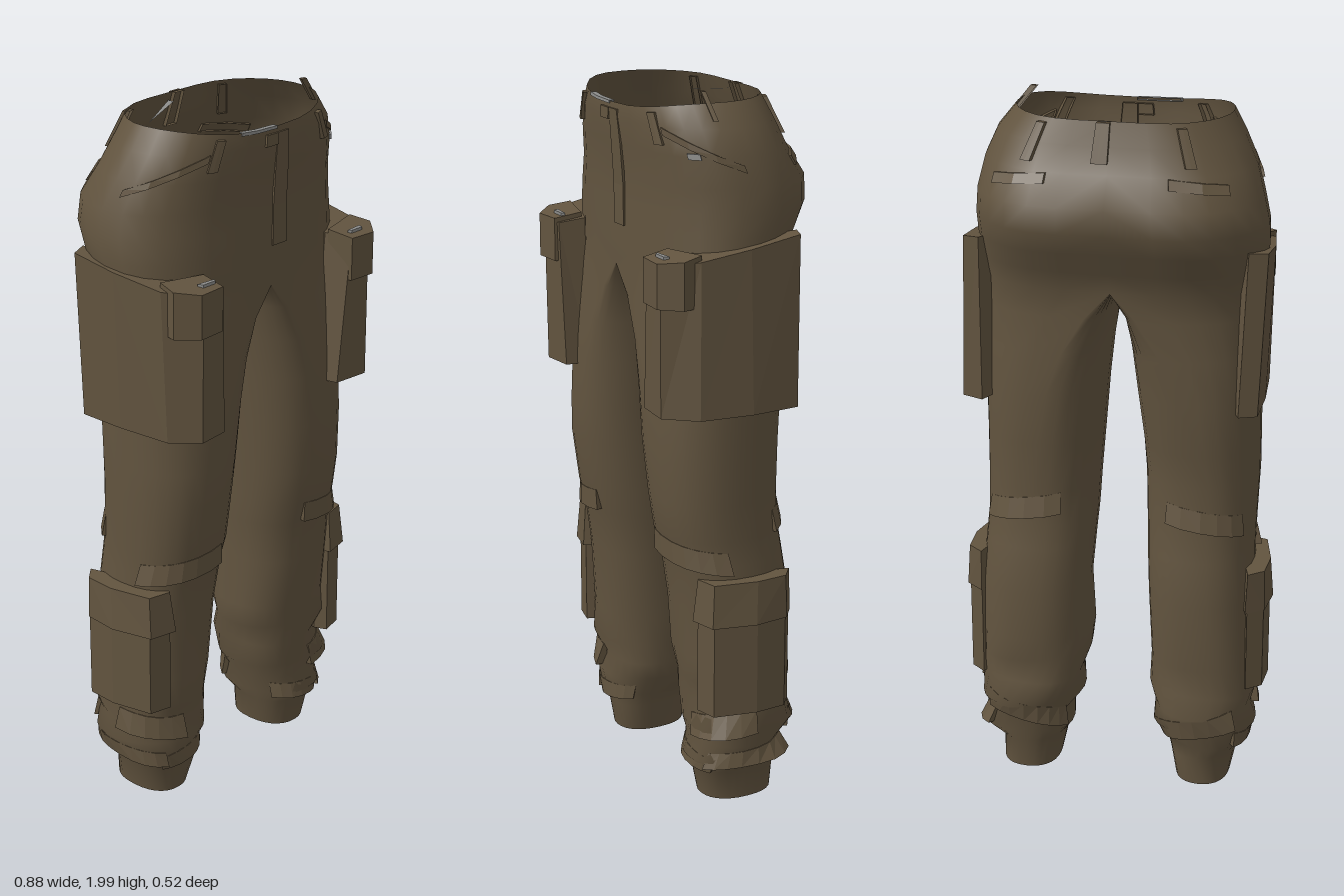
import * as THREE from 'three';
import { mergeVertices } from 'three/addons/utils/BufferGeometryUtils.js';

const SEAM = -0.015;
const TAU = Math.PI * 2;

// Hip rows: y, outer x on the left, outer x on the right, front z, back z
const HIPS = [
  [1.51, 0.375, 0.405, 0.2, -0.19],
  [1.57, 0.375, 0.415, 0.2, -0.22],
  [1.63, 0.375, 0.42, 0.2, -0.25],
  [1.69, 0.375, 0.42, 0.2, -0.28],
  [1.76, 0.37, 0.405, 0.2, -0.28],
  [1.84, 0.355, 0.38, 0.207, -0.225],
  [1.91, 0.325, 0.345, 0.215, -0.195],
  [1.972, 0.275, 0.31, 0.212, -0.172],
];

// Leg rows: y, inner x, outer x, front z, back z, seam flatness (distances from the middle)
const LEFT_LEG = [
  [0.012, 0.165, 0.33, 0.08, -0.13, 0],
  [0.1, 0.15, 0.335, 0.1, -0.135, 0],
  [0.14, 0.125, 0.38, 0.12, -0.16, 0],
  [0.19, 0.125, 0.375, 0.1, -0.15, 0],
  [0.24, 0.1, 0.395, 0.125, -0.18, 0],
  [0.31, 0.09, 0.385, 0.11, -0.17, 0],
  [0.38, 0.08, 0.39, 0.13, -0.168, 0],
  [0.45, 0.065, 0.39, 0.135, -0.175, 0],
  [0.6, 0.075, 0.385, 0.15, -0.178, 0],
  [0.73, 0.065, 0.375, 0.165, -0.16, 0],
  [0.8, 0.06, 0.37, 0.185, -0.15, 0],
  [0.9, 0.055, 0.37, 0.2, -0.145, 0],
  [1.05, 0.043, 0.37, 0.21, -0.155, 0.1],
  [1.2, 0.03, 0.37, 0.21, -0.168, 0.2],
  [1.32, 0.017, 0.372, 0.205, -0.165, 0.4],
  [1.43, 0.002, 0.375, 0.2, -0.172, 0.7],
];
const RIGHT_LEG = [
  [0.012, 0.185, 0.34, 0.08, -0.13, 0],
  [0.1, 0.165, 0.355, 0.1, -0.135, 0],
  [0.14, 0.16, 0.385, 0.11, -0.15, 0],
  [0.2, 0.12, 0.41, 0.12, -0.17, 0],
  [0.25, 0.12, 0.395, 0.11, -0.18, 0],
  [0.31, 0.113, 0.415, 0.125, -0.168, 0],
  [0.4, 0.11, 0.405, 0.13, -0.17, 0],
  [0.6, 0.1, 0.4, 0.145, -0.176, 0],
  [0.73, 0.093, 0.395, 0.165, -0.16, 0],
  [0.8, 0.09, 0.395, 0.185, -0.15, 0],
  [0.95, 0.085, 0.4, 0.205, -0.145, 0],
  [1.05, 0.078, 0.4, 0.21, -0.155, 0.1],
  [1.2, 0.06, 0.4, 0.21, -0.168, 0.2],
  [1.32, 0.046, 0.4, 0.205, -0.165, 0.4],
  [1.43, 0.031, 0.402, 0.2, -0.172, 0.7],
];
const rowsFor = (s) => [
  ...(s > 0 ? LEFT_LEG : RIGHT_LEG),
  ...HIPS.map(([y, l, r, zf, zb]) => [y, s * SEAM, s > 0 ? l : r, zf, zb, 1]),
];
const ROWS = { 1: rowsFor(1), '-1': rowsFor(-1) };

// Point on the cloth: angle 0 is the front, PI/2 the outer side, PI the back
function ringPoint(s, row, a) {
  const [y, xi, xo, zf, zb, k] = row;
  const sn = Math.sin(a), cs = Math.cos(a);
  const pw = (v, p) => Math.sign(v) * Math.pow(Math.abs(v), p);
  const wob = y < 0.4 ? 0.05 * Math.sin(3 * a + y * 47 + s) * Math.min(1, y * 8) : 0;
  const ell = (xi + xo) / 2 + ((xo - xi) / 2) * pw(sn, 0.88) * (1 + wob);
  const dee = xi + (xo - xi) * (sn > 0 ? Math.pow(sn, 0.75) : 0);
  let z = (zf + zb) / 2 + ((zf - zb) / 2) * pw(cs, cs < 0 ? 0.85 + 0.2 * k : 0.85) * (1 + wob);
  // cleft at the centre back, sagging crotch seam and lower front waist edge
  if (y >= 1.5 && cs < 0) z *= 1 - 0.08 * Math.pow(cs, 16);
  const dip = k === 1 && sn < -1e-6 ? 0.012 * sn : 0;
  const rim = y > 1.96 && cs > 0 ? 0.025 * cs ** 3 : 0;
  return new THREE.Vector3(s * THREE.MathUtils.lerp(ell, dee, k), y + dip - rim, z);
}

// Cloth point at any height, pushed outward by d
function surfacePoint(s, y, a, d) {
  const rows = ROWS[s];
  let i = 0;
  while (i < rows.length - 2 && rows[i + 1][0] < y) i++;
  const t = (y - rows[i][0]) / (rows[i + 1][0] - rows[i][0]);
  const p = ringPoint(s, rows[i], a).lerp(ringPoint(s, rows[i + 1], a), t);
  return p.add(new THREE.Vector3(s * Math.sin(a) * d, 0, Math.cos(a) * d));
}

function makeGeometry(pos, idx) {
  const g = new THREE.BufferGeometry();
  g.setAttribute('position', new THREE.Float32BufferAttribute(pos, 3));
  g.setIndex(idx);
  return g;
}

function flat(pos, idx) {
  const g = makeGeometry(pos, idx).toNonIndexed();
  g.computeVertexNormals();
  return g;
}

const pushQuad = (idx, s, a, b, c, d) =>
  s > 0 ? idx.push(a, b, c, a, c, d) : idx.push(a, c, b, a, d, c);

// Both legs and the hips as one smooth open shell
function trouserShell() {
  const M = 14, N = M * 2, pos = [], idx = [];
  for (const s of [1, -1]) {
    const rows = ROWS[s], base = pos.length / 3;
    const crotch = rows.findIndex((r) => r[5] === 1);
    rows.forEach((row) => {
      for (let j = 0; j < N; j++) pos.push(...ringPoint(s, row, (j / N) * TAU).toArray());
    });
    for (let i = 0; i < rows.length - 1; i++) {
      for (let j = 0; j < (i < crotch ? N : M); j++) {
        const a = base + i * N + j, b = base + i * N + ((j + 1) % N);
        pushQuad(idx, s, a, b, b + N, a + N);
      }
    }
  }
  const g = mergeVertices(makeGeometry(pos, idx), 1e-4);
  g.computeVertexNormals();
  return g;
}

// Raised panel on the cloth; slope lifts its far end, flare thickens its bottom
function panel(s, a0, a1, y0, y1, d, slope = 0, flare = 0) {
  const nu = Math.max(2, Math.ceil((a1 - a0) / 0.28));
  const nv = Math.max(1, Math.ceil((y1 - y0) / 0.12));
  const steps = (n) => [0, ...Array.from({ length: n + 1 }, (_, i) => i / n), 1];
  const us = steps(nu), vs = steps(nv), pos = [], idx = [], W = us.length;
  vs.forEach((v, j) => us.forEach((u, i) => {
    const edge = i === 0 || j === 0 || i === W - 1 || j === vs.length - 1;
    const y = y0 + (y1 - y0) * v + slope * u;
    pos.push(...surfacePoint(s, y, a0 + (a1 - a0) * u, edge ? -0.012 : d + flare * (1 - v)).toArray());
  }));
  for (let j = 0; j < vs.length - 1; j++) {
    for (let i = 0; i < W - 1; i++) {
      const a = j * W + i;
      pushQuad(idx, s, a, a + 1, a + W + 1, a + W);
    }
  }
  return flat(pos, idx);
}

// Boxy pocket between two [x, z] outlines, run from front to back; its top rises by tilt towards the back
function pocket(s, bottom, top, y0, y1, tilt = 0) {
  const n = bottom.length, pos = [], idx = [];
  bottom.forEach(([x, z]) => pos.push(s * x, y0, z));
  top.forEach(([x, z]) => pos.push(s * x, y1 - tilt * z, z));
  for (let i = 0; i < n; i++) {
    const j = (i + 1) % n;
    pushQuad(idx, s, i, j, j + n, i + n);
  }
  for (let i = 1; i < n - 1; i++) {
    idx.push(...(s > 0 ? [n, n + i, n + i + 1, 0, i + 1, i] : [n, n + i + 1, n + i, 0, i, i + 1]));
  }
  return flat(pos, idx);
}

// Pocket outlines
const LEFT_THIGH = [
  [[0.205, 0.17], [0.22, 0.24], [0.33, 0.25], [0.4, 0.17], [0.418, 0.02], [0.41, -0.12], [0.35, -0.145]],
  [[0.24, 0.17], [0.255, 0.25], [0.33, 0.25], [0.385, 0.16], [0.4, 0.02], [0.395, -0.13], [0.35, -0.145]],
];
const RIGHT_THIGH = [
  [[0.235, 0.17], [0.245, 0.24], [0.34, 0.25], [0.4, 0.18], [0.412, 0.02], [0.41, -0.12], [0.36, -0.14]],
  [[0.24, 0.17], [0.26, 0.25], [0.34, 0.255], [0.41, 0.17], [0.43, 0.02], [0.43, -0.12], [0.38, -0.14]],
];
const THIGH_FLAP = [[0.24, 0.18], [0.25, 0.258], [0.335, 0.263], [0.385, 0.21], [0.37, 0.15]];
const CALF = [[0.31, 0.1], [0.325, 0.135], [0.39, 0.12], [0.417, 0.0], [0.412, -0.09], [0.37, -0.125]];
const CALF_FLAP = [[0.3, 0.1], [0.32, 0.148], [0.4, 0.13], [0.43, 0.01], [0.42, -0.09], [0.37, -0.13]];
const shift = (outline, dx) => outline.map(([x, z]) => [x + dx, z]);

// Loose triangular scrap of lining
const scrap = (...corners) => flat(corners.flat(), [0, 1, 2]);

function flatColour(name, color) {
  const m = new THREE.MeshStandardMaterial({ color, side: THREE.DoubleSide });
  m.name = name;
  return m;
}

export function createModel() {
  const cloth = flatColour('olive brown cloth', 0x62543f);
  const lining = flatColour('grey lining', 0x8c8c8a);
  const model = new THREE.Group();
  model.name = 'cargoTrousers';
  const add = (name, geometry, material = cloth) => {
    const m = new THREE.Mesh(geometry, material);
    m.name = name;
    model.add(m);
  };

  add('trouserShell', trouserShell());

  for (const s of [1, -1]) {
    const side = s > 0 ? 'left' : 'right';
    const part = (name, ...args) => add(side + name, panel(s, ...args));
    const out = s > 0 ? 0 : 0.025;

    // Large thigh pocket with a slanted top and a flap at its front corner
    add(side + 'ThighPocket', pocket(s, ...(s > 0 ? LEFT_THIGH : RIGHT_THIGH), 1.168, 1.612, 0.15));
    const flap = shift(THIGH_FLAP, out * 0.8);
    add(side + 'ThighPocketFlap', pocket(s, flap, flap, 1.465, 1.625, 0.15));

    // Calf pocket and its flap
    const calf = shift(CALF, out), calfFlap = shift(CALF_FLAP, out * 0.8);
    add(side + 'CalfPocket', pocket(s, calf, calf, s > 0 ? 0.31 : 0.335, 0.65));
    add(side + 'CalfPocketFlap', pocket(s, calfFlap, calf, 0.575, 0.695));

    // Folds at the knee and above the cuff, thick at their lower edge
    part('KneeFold', -0.3, 1.3, 0.74, 0.8, 0.002, -0.03, 0.016);
    part('KneeBackFold', 2.2, 3.6, 0.8, 0.86, 0.001, 0.04, 0.01);
    part('ShinFold', 0.1, 1.5, 0.21, 0.275, 0.002, 0.03, 0.018);
    part('AnkleFold', 0.5, 2.4, 0.12, 0.165, 0.002, 0.03, 0.016);
    part('HeelFold', 2.4, 4.2, 0.21, 0.27, 0.001, -0.06, 0.012);
    part('AnkleFrontFold', -0.9, 0.7, 0.13, 0.175, 0.001, -0.025, 0.014);

    // Slanted front pocket edge, back pocket welt and belt loops
    part('FrontPocketEdge', 0.62, 1.45, 1.89, 1.91, 0.006, -0.09);
    part('BackPocketWelt', 2.25, 2.8, 1.795, 1.82, 0.006, 0.02);
    part('FrontBeltLoop', 0.5, 0.6, 1.865, 1.955, 0.01);
    part('BackBeltLoop', 2.55, 2.65, 1.865, 1.96, 0.01);

    // Lining showing at the thigh pocket mouth
    const mouth = [[0.27, 0.225], [0.275, 0.235], [0.32, 0.235], [0.325, 0.22]];
    add(side + 'PocketLining', pocket(s, mouth, mouth, 1.58, 1.598), lining);
  }

  // Centre details
  add('flyPlacket', panel(1, 0, 0.07, 1.62, 1.945, 0.004));
  add('waistButtonTab', panel(-1, 0, 0.07, 1.9, 1.945, 0.006));
  add('centreBackBeltLoop', panel(1, Math.PI - 0.06, Math.PI, 1.87, 1.97, 0.012));
  add('waistTip', panel(1, 1.3, 1.36, 1.93, 2.0, 0.006));

  // Lining at the waist and hip, and loose scraps
  add('waistLining', panel(-1, 0, 0.32, 1.962, 1.975, 0.003), lining);
  add('hipPocketLining', panel(1, 0.85, 1.0, 1.835, 1.85, 0.006), lining);
  add('backWaistScrap', scrap([-0.18, 1.93, -0.09], [-0.03, 1.95, -0.16], [-0.03, 1.95, -0.14]), lining);
  add('cuffScrap', scrap([-0.31, 0.15, -0.01], [-0.28, 0.15, 0.02], [-0.28, 0.15, 0.09]), lining);
  return model;
}
